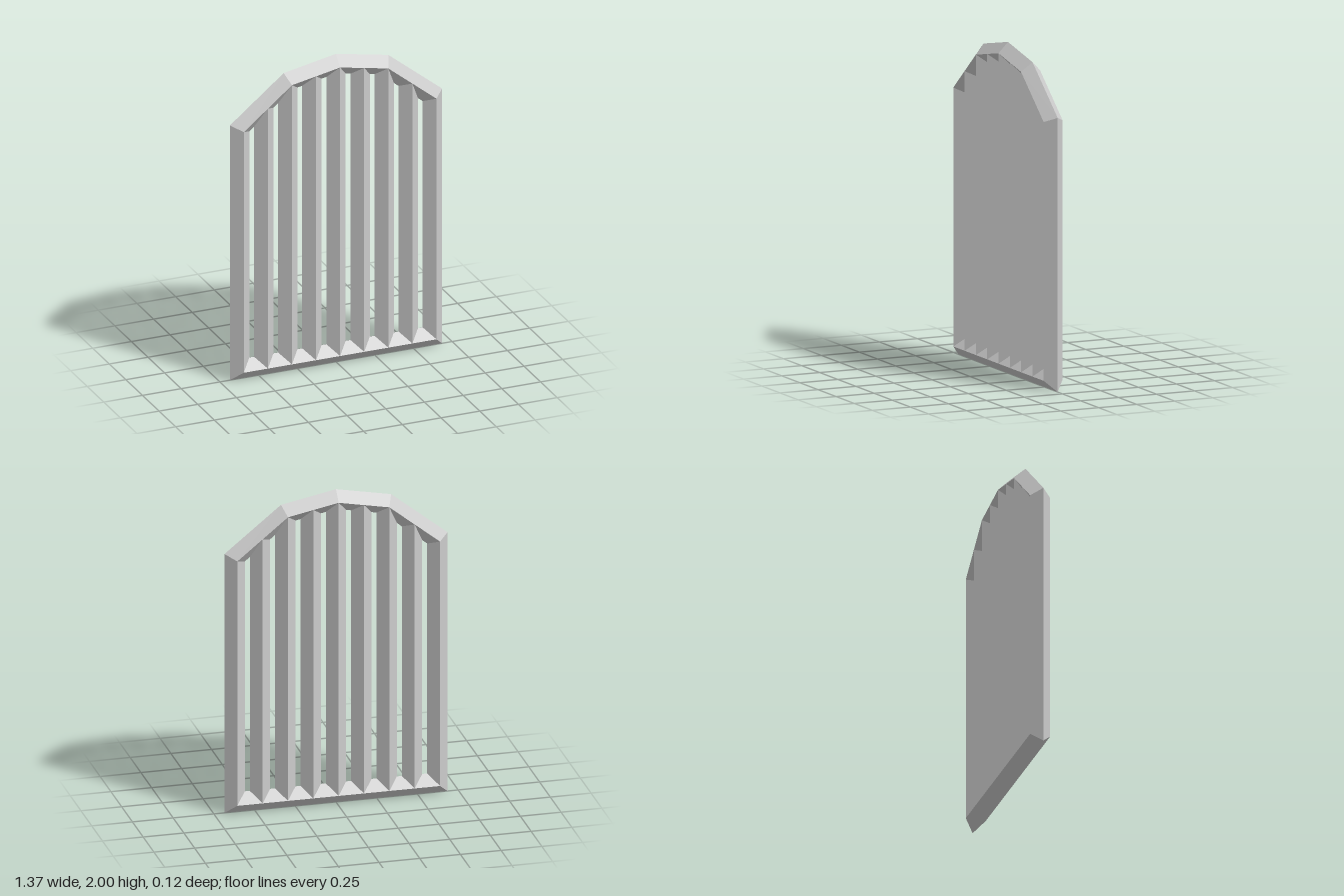
import * as THREE from 'three';

const R = 0.0625; // half thickness of every diamond-section bar

// Surface through four corner lines, wrapping from the last line to the first
function loft(lines, closed) {
  const pos = [];
  const n = lines[0].length;
  lines.forEach((a, j) => {
    const b = lines[(j + 1) % lines.length];
    for (let i = 0; i < (closed ? n : n - 1); i++) {
      const k = (i + 1) % n;
      pos.push(...a[i], ...a[k], ...b[k], ...a[i], ...b[k], ...b[i]);
    }
  });
  const geo = new THREE.BufferGeometry();
  geo.setAttribute('position', new THREE.Float32BufferAttribute(pos, 3));
  geo.computeVertexNormals();
  return geo;
}

export function createModel() {
  const group = new THREE.Group();
  const material = new THREE.MeshStandardMaterial({ color: 0xcccccc, flatShading: true });
  const add = (name, geo) => {
    const mesh = new THREE.Mesh(geo, material);
    mesh.name = name;
    group.add(mesh);
  };

  // Right half of the outlines, bottom to crown, then mirrored into a full loop
  const outer = [[0.685, 0], [0.685, 1.655], [0.338, 1.934], [0, 2]];
  const ridge = [[0.6225, R], [0.6225, 1.625], [0.311, 1.876], [0, 1.9365]];
  const inner = outer.map(([x, y], i) => [2 * ridge[i][0] - x, 2 * ridge[i][1] - y]);
  const loop = (half, z) => [
    ...half.map(([x, y]) => [x, y, z]),
    ...half.slice(0, -1).reverse().map(([x, y]) => [-x, y, z]),
  ];

  // Arched frame with a diamond section and mitred corners
  add('archedFrame', loft([loop(outer, 0), loop(ridge, R), loop(inner, 0), loop(ridge, -R)], true));

  // Height of the frame's ridge above a given x
  const ridgeY = (x) => {
    const ax = Math.abs(x);
    const i = ax > ridge[2][0] ? 1 : 2;
    const [[x0, y0], [x1, y1]] = [ridge[i], ridge[i + 1]];
    return y0 + ((ax - x0) / (x1 - x0)) * (y1 - y0);
  };

  // Seven upright bars, ending inside the frame
  for (let k = -3; k <= 3; k++) {
    const x = k * 0.1556;
    const corners = [[x + R, 0], [x, R], [x - R, 0], [x, -R]];
    add('uprightBar', loft(corners.map(([cx, z]) => [[cx, R, z], [cx, ridgeY(cx), z]]), false));
  }
  return group;
}
